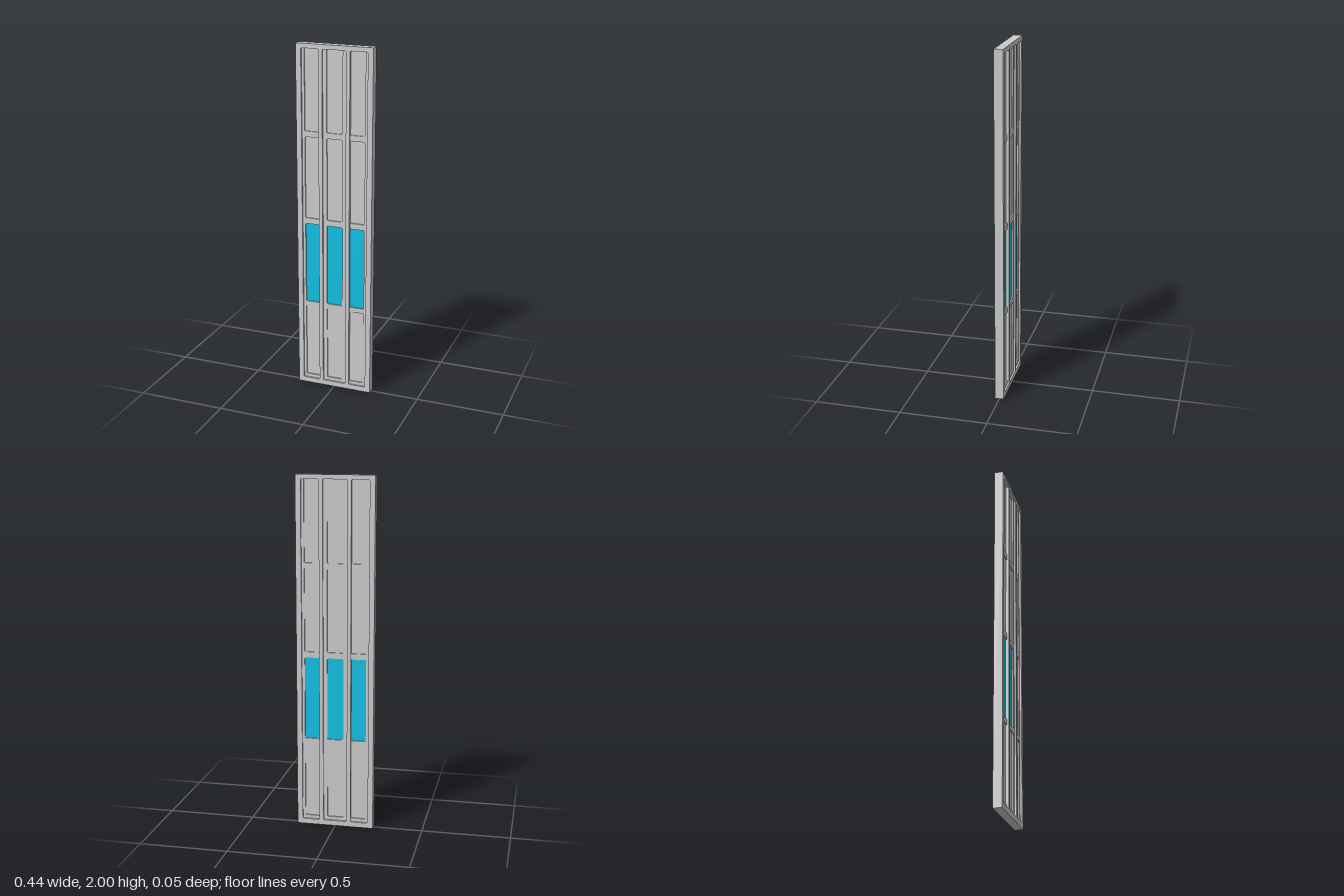
import * as THREE from 'three';

const grey = new THREE.MeshStandardMaterial({ color: 0xcccccc });
const blue = new THREE.MeshStandardMaterial({ color: 0x10c0e4 });

// Trace a rectangle with small rounded corners into a Shape or Path
function roundedRect(path, x0, x1, y0, y1, r) {
  path.moveTo(x0 + r, y0);
  path.lineTo(x1 - r, y0);
  path.quadraticCurveTo(x1, y0, x1, y0 + r);
  path.lineTo(x1, y1 - r);
  path.quadraticCurveTo(x1, y1, x1 - r, y1);
  path.lineTo(x0 + r, y1);
  path.quadraticCurveTo(x0, y1, x0, y1 - r);
  path.lineTo(x0, y0 + r);
  path.quadraticCurveTo(x0, y0, x0 + r, y0);
  return path;
}

// Flat plate with cut-outs, centred on z = 0
function plate(name, [x0, x1, y0, y1], holes, depth) {
  const shape = new THREE.Shape([[x0, y0], [x1, y0], [x1, y1], [x0, y1]].map(p => new THREE.Vector2(...p)));
  for (const h of holes) shape.holes.push(roundedRect(new THREE.Path(), ...h, 0.008));
  const geometry = new THREE.ExtrudeGeometry(shape, { depth, bevelEnabled: false, curveSegments: 3 });
  geometry.translate(0, 0, -depth / 2);
  const mesh = new THREE.Mesh(geometry, grey);
  mesh.name = name;
  return mesh;
}

function box(name, x0, x1, y0, y1, depth, material) {
  const mesh = new THREE.Mesh(new THREE.BoxGeometry(x1 - x0, y1 - y0, depth), material);
  mesh.position.set((x0 + x1) / 2, (y0 + y1) / 2, 0);
  mesh.name = name;
  return mesh;
}

export function createModel() {
  const group = new THREE.Group();
  group.name = 'panelledDoor';

  // Outer frame and stiles: three tall openings
  const openings = [[-0.19, -0.09], [-0.068, 0.068], [0.09, 0.19]];
  group.add(plate('frame', [-0.22, 0.22, 0, 2], openings.map(([a, b]) => [a, b, 0.03, 1.975]), 0.05));

  // Recessed rails and borders around every panel; some edges run under the stiles
  const columns = [[-0.175, -0.085], [-0.046, 0.046], [0.085, 0.175]];
  const rows = [[0.05, 0.487], [0.515, 0.987], [1.02, 1.488], [1.52, 1.98]];
  const cells = columns.flatMap(c => rows.map(r => [...c, ...r]));
  group.add(plate('rails', [-0.2, 0.2, 0.02, 1.99], cells, 0.03));

  // Infill panels, the second row from the bottom coloured
  for (const c of columns) {
    rows.forEach((r, i) => {
      const glazed = i === 1;
      const m = 0.003;
      group.add(box(glazed ? 'bluePanel' : 'panel', c[0] - m, c[1] + m, r[0] - m, r[1] + m,
        0.015, glazed ? blue : grey));
    });
  }
  return group;
}
